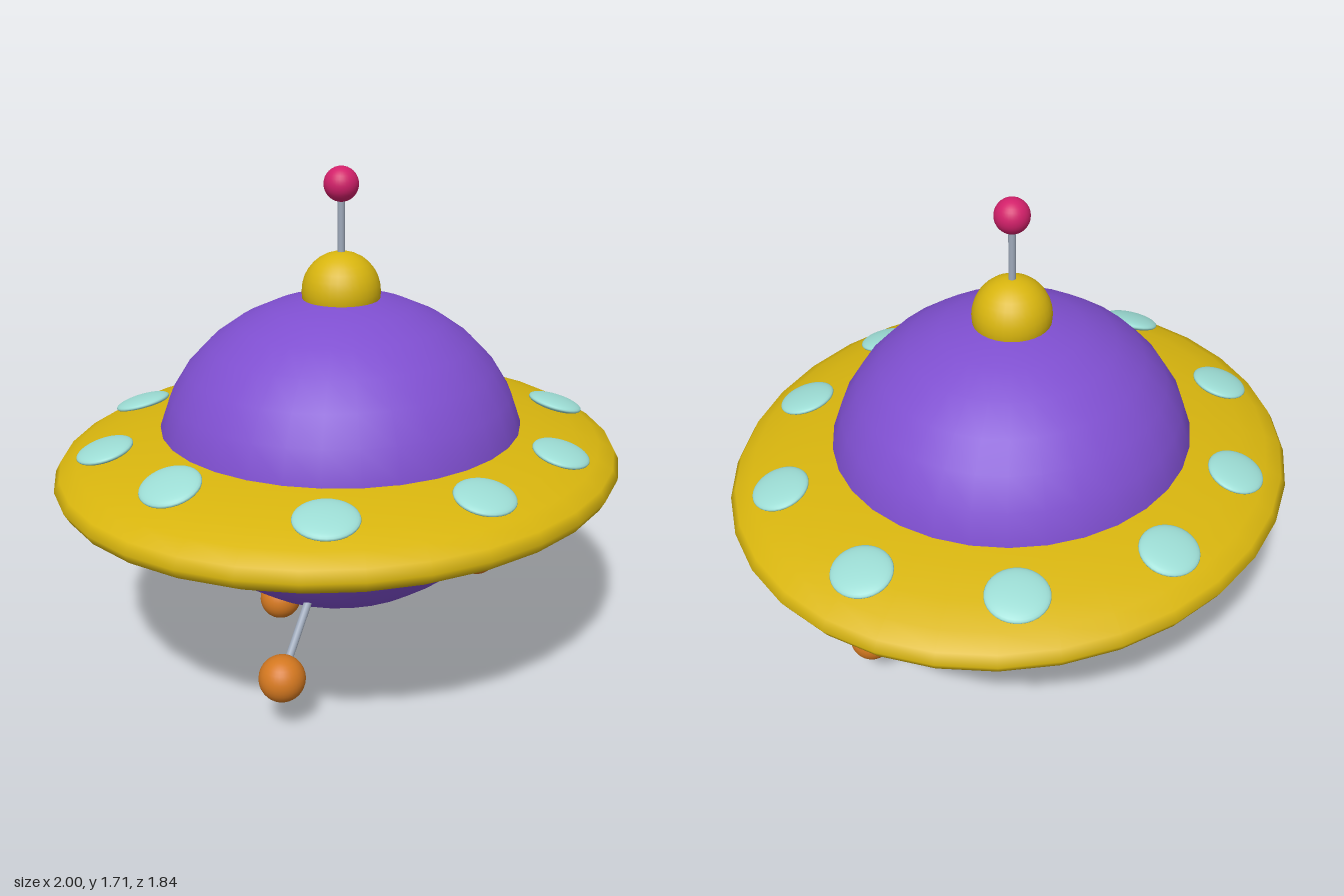
import * as THREE from 'three';

function paint(name, hex) {
  const m = new THREE.MeshStandardMaterial({ color: hex });
  m.name = name;
  return m;
}

export function createModel() {
  const purple = paint('hull purple', 0x7f4fd0);
  const yellow = paint('saucer yellow', 0xd8b50e);
  const aqua = paint('window aqua', 0x9cdcd4);
  const pink = paint('beacon pink', 0xd2206a);
  const orange = paint('foot orange', 0xd47820);
  const steel = paint('strut steel', 0x9ea9ba);

  const model = new THREE.Group();
  model.name = 'flyingSaucer';

  // Ball stretched to the given half-sizes
  function ball(name, mat, [x, y, z], [rx, ry, rz], parent = model, seg = 32) {
    const mesh = new THREE.Mesh(new THREE.SphereGeometry(1, seg, seg / 2), mat);
    mesh.name = name;
    mesh.position.set(x, y, z);
    mesh.scale.set(rx, ry, rz);
    parent.add(mesh);
    return mesh;
  }

  // Thin rod between two points
  function rod(name, from, to, radius, parent = model) {
    const a = new THREE.Vector3(...from), b = new THREE.Vector3(...to);
    const dir = b.clone().sub(a);
    const mesh = new THREE.Mesh(new THREE.CylinderGeometry(radius, radius, dir.length(), 16), steel);
    mesh.name = name;
    mesh.position.copy(a).add(b).multiplyScalar(0.5);
    mesh.quaternion.setFromUnitVectors(new THREE.Vector3(0, 1, 0), dir.normalize());
    parent.add(mesh);
  }

  // Hull, saucer disc and top cap
  const disc = { y: 0.723, rx: 1, ry: 0.17, rz: 0.92 };
  ball('hull', purple, [0, 0.757, 0], [0.63, 0.533, 0.61]);
  ball('saucerDisc', yellow, [0, disc.y, 0], [disc.rx, disc.ry, disc.rz]);
  ball('topCap', yellow, [0, 1.3, 0], [0.132, 0.132, 0.13]);

  // Antenna
  rod('antennaRod', [0, 1.38, 0], [0, 1.64, 0], 0.012);
  ball('antennaBeacon', pink, [0, 1.65, 0], [0.057, 0.057, 0.057]);

  // Windows around the disc: x, z, extra lift, extra tilt
  const windows = [
    [-0.235, -0.727, 0, 0], [0.222, -0.727, 0, 0],
    [0.647, -0.455, 0.006, 0], [0.818, -0.01, 0, 0],
    [0.668, 0.45, 0.006, 0], [0.24, 0.713, 0, 0],
    [-0.215, 0.713, 0, 0], [-0.64, 0.453, 0.006, 0],
    [-0.797, -0.01, 0.035, 0.12], [-0.658, -0.455, 0.006, 0],
  ];
  for (const [x, z, lift, tilt] of windows) {
    const h = disc.ry * Math.sqrt(1 - (x / disc.rx) ** 2 - (z / disc.rz) ** 2);
    const normal = new THREE.Vector3(x / disc.rx ** 2, h / disc.ry ** 2, z / disc.rz ** 2).normalize();
    const slope = Math.acos(normal.y) + tilt;
    const pane = ball('window', aqua, [x, disc.y + h + 0.004 + lift, z], [0.1, 0.022, 0.095]);
    pane.rotation.order = 'YXZ';
    pane.rotation.set(slope, Math.atan2(normal.x, normal.z), 0);
  }

  // Tripod legs with ball feet: hull end, foot centre
  const legs = [
    ['leftLeg', [0.37, 0.4, 0.17], [0.565, 0.19, 0.21]],
    ['rightLeg', [-0.37, 0.4, 0.17], [-0.565, 0.19, 0.21]],
    ['backLeg', [0, 0.3, -0.215], [0, 0.075, -0.29]],
  ];
  for (const [name, top, foot] of legs) {
    const leg = new THREE.Group();
    leg.name = name;
    rod('strut', top, foot, 0.013, leg);
    ball('foot', orange, foot, [0.075, 0.075, 0.075], leg);
    model.add(leg);
  }
  return model;
}
